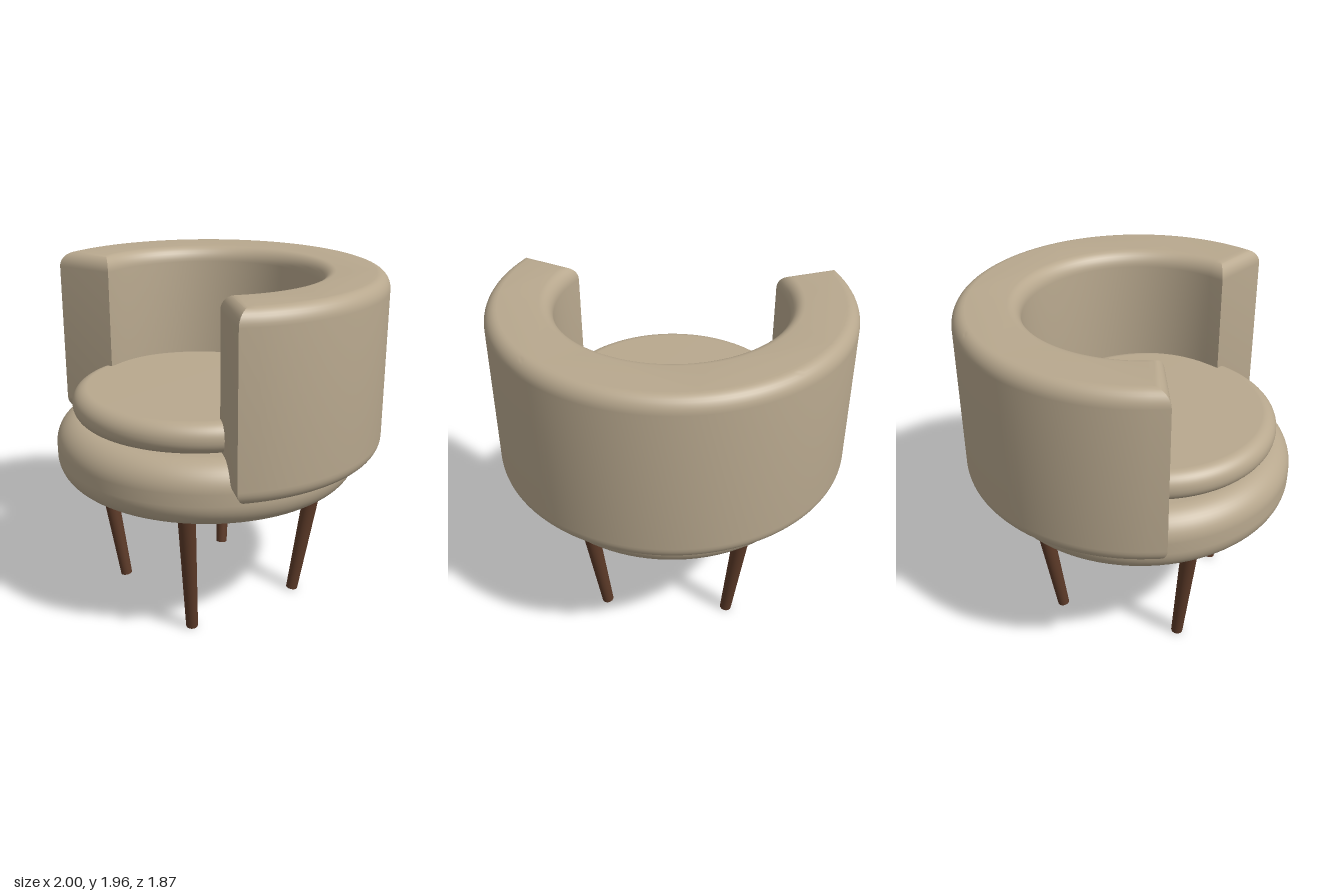
import * as THREE from 'three';
import { toCreasedNormals } from 'three/addons/utils/BufferGeometryUtils.js';

const CENTRE_Z = 0.065;
const fabric = new THREE.MeshStandardMaterial({ color: 0xb8a88e });
const wood = new THREE.MeshStandardMaterial({ color: 0x5c3a28 });

// Round cushion with rounded rims, from y0 to y1
function cushion(name, radius, y0, y1, round, z) {
  const points = [new THREE.Vector2(0, y0)];
  const steps = 12;
  for (const [y, start] of [[y0 + round, -Math.PI / 2], [y1 - round, 0]]) {
    for (let i = 0; i <= steps; i++) {
      const a = start + (i / steps) * Math.PI / 2;
      points.push(new THREE.Vector2(radius - round + round * Math.cos(a), y + round * Math.sin(a)));
    }
  }
  points.push(new THREE.Vector2(0, y1));
  const mesh = new THREE.Mesh(new THREE.LatheGeometry(points, 96), fabric);
  mesh.name = name;
  mesh.position.z = z;
  return mesh;
}

// Wraparound back and arms: a thick C with bevelled edges, open to the front
function backrest() {
  const inner = 0.635, outer = 1.0, bottom = 0.965, top = 1.96;
  const bevel = 0.072, rise = 0.085;
  const a = THREE.MathUtils.degToRad(22.5);
  const shape = new THREE.Shape();
  shape.absarc(0, 0, outer - bevel, a, Math.PI - a, true);
  shape.absarc(0, 0, inner + bevel, Math.PI - a, a, false);
  shape.closePath();
  const geometry = new THREE.ExtrudeGeometry(shape, {
    depth: top - bottom - 2 * rise,
    bevelSize: bevel,
    bevelThickness: rise,
    bevelSegments: 8,
    curveSegments: 72,
  });
  geometry.rotateX(Math.PI / 2);
  const mesh = new THREE.Mesh(toCreasedNormals(geometry, 0.5), fabric);
  mesh.name = 'backrest';
  mesh.position.set(0, top - rise, CENTRE_Z);
  return mesh;
}

// Tapered leg leaning inward toward the floor
function leg(name, sx, sz) {
  const foot = new THREE.Vector3(sx * 0.37, 0.004, CENTRE_Z + sz * 0.37);
  const head = new THREE.Vector3(sx * 0.457, 0.79, CENTRE_Z + sz * 0.457);
  const axis = head.clone().sub(foot);
  const mesh = new THREE.Mesh(new THREE.CylinderGeometry(0.05, 0.034, axis.length(), 32), wood);
  mesh.name = name;
  mesh.position.copy(foot).add(head).multiplyScalar(0.5);
  mesh.quaternion.setFromUnitVectors(new THREE.Vector3(0, 1, 0), axis.normalize());
  return mesh;
}

export function createModel() {
  const chair = new THREE.Group();
  chair.name = 'tubChair';
  chair.add(
    cushion('seatBase', 0.87, 0.768, 1.135, 0.15, CENTRE_Z),
    cushion('seatCushion', 0.71, 1.135, 1.308, 0.083, 0.135),
    backrest(),
  );
  for (const [side, sx] of [['Left', 1], ['Right', -1]]) {
    chair.add(leg('front' + side + 'Leg', sx, 1), leg('back' + side + 'Leg', sx, -1));
  }
  return chair;
}
